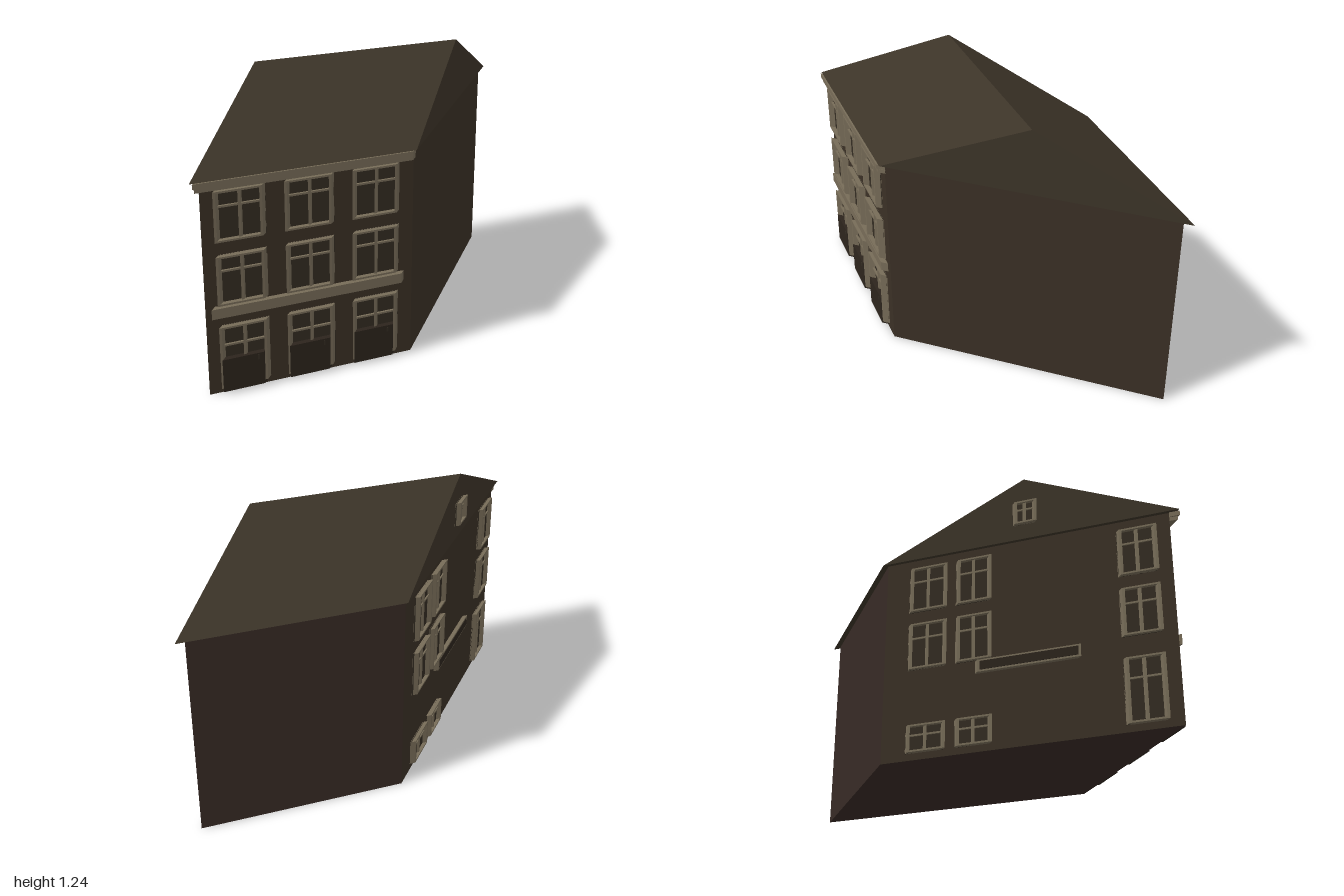
import * as THREE from 'three';

const V = (x, y, z) => new THREE.Vector3(x, y, z);

function flat(name, color) {
  const m = new THREE.MeshStandardMaterial({ color });
  m.name = name;
  return m;
}

export function createModel() {
  const model = new THREE.Group();
  model.name = 'townhouse';

  const wallMat = flat('wall brown', 0x3a3025);
  const rearMat = flat('rear wall brown', 0x372a25);
  const roofMat = flat('roof brown', 0x3c3428);
  const trimMat = flat('trim beige', 0x776c58);
  const glassMat = flat('window glass', 0x332c22);
  const panelMat = flat('panel dark', 0x2c241c);

  // Skewed frame: a geometry's x, y, z axes become the given directions
  const skew = (geo, x, y, z, origin) =>
    geo.applyMatrix4(new THREE.Matrix4().makeBasis(x, y, z).setPosition(origin));

  function add(parent, name, geo, mat) {
    const mesh = new THREE.Mesh(geo, mat);
    mesh.name = name;
    parent.add(mesh);
    return mesh;
  }

  // Walls on a parallelogram footprint
  const body = skew(new THREE.BoxGeometry(1, 1, 1),
    V(0.668, 0, -0.62), V(0, 0.94, 0), V(0.038, 0, 1.28), V(0, 0.47, 0));
  add(model, 'walls', body, [wallMat, wallMat, wallMat, rearMat, wallMat, rearMat]);

  // Gabled roof, ridge parallel to the front wall
  const gable = new THREE.Shape([
    new THREE.Vector2(-0.5, 0), new THREE.Vector2(0.5, 0), new THREE.Vector2(0, 1)]);
  const roof = new THREE.ExtrudeGeometry(gable, { depth: 1, bevelEnabled: false });
  roof.translate(0, 0, -0.5);
  skew(roof, V(0.04, 0, 1.345), V(0, 0.302, 0), V(-0.70, 0, 0.65), V(0, 0.94, 0));
  add(model, 'roof', roof, roofMat);

  // Facades: u runs along the wall, d outward along the neighbouring wall
  const front = { u: V(1, 0, -0.928), d: V(0.028, 0, 1), o: V(0, 0, 0.658), bar: 0.008, depth: 0.033 };
  const side = { u: V(0.03, 0, 1), d: V(-1, 0, 0.93), o: V(-0.343, 0, 0), bar: 0.012, depth: 0.02 };
  const gableSide = { ...side, o: V(-0.3595, 0, 0) };

  function block(parent, name, f, u0, u1, y0, y1, d0, d1, mat) {
    const geo = new THREE.BoxGeometry(u1 - u0, y1 - y0, d1 - d0);
    geo.translate((u0 + u1) / 2, (y0 + y1) / 2, (d0 + d1) / 2);
    return add(parent, name, skew(geo, f.u, V(0, 1, 0), f.d, f.o), mat);
  }

  // Framed window with one mullion and one transom
  function addWindow(f, u0, u1, y0, y1, transom) {
    const g = new THREE.Group();
    g.name = 'window';
    const b = f.bar, h = 0.008, D = f.depth, uc = (u0 + u1) / 2;
    block(g, 'glass', f, u0, u1, y0, y1, 0.001, 0.005, glassMat);
    for (const u of [u0, u1 - b]) block(g, 'frameSide', f, u, u + b, y0, y1, 0, D, trimMat);
    for (const y of [y0, y1 - h]) block(g, 'frameRail', f, u0 + b, u1 - b, y, y + h, 0, D, trimMat);
    block(g, 'mullion', f, uc - b / 2, uc + b / 2, y0 + h, y1 - h, 0, D * 0.6, trimMat);
    block(g, 'transom', f, u0 + b, u1 - b, transom - 0.004, transom + 0.004, 0, D * 0.55, trimMat);
    model.add(g);
  }

  // Front: three bays, three storeys, a panel below each ground floor window
  for (const c of [-0.193, 0.02, 0.233]) {
    const u0 = c - 0.073, u1 = c + 0.073;
    addWindow(front, u0, u1, 0.68, 0.893, 0.825);
    addWindow(front, u0, u1, 0.405, 0.618, 0.55);
    addWindow(front, u0, u1, 0.03, 0.308, 0.22);
    block(model, 'lowerPanel', front, c - 0.066, c + 0.064, 0.015, 0.163, 0, 0.037, panelMat);
    block(model, 'panelHandle', front, c + 0.045, c + 0.05, 0.135, 0.155, 0.037, 0.041, glassMat);
  }
  block(model, 'frontBand', front, -0.285, 0.325, 0.352, 0.396, 0, 0.034, trimMat);
  block(model, 'corniceLower', front, -0.317, 0.358, 0.9, 0.917, 0, 0.034, trimMat);
  block(model, 'corniceUpper', front, -0.319, 0.36, 0.919, 0.94, 0, 0.042, trimMat);

  // Side wall: two bays towards the rear, one towards the front corner
  for (const [u0, u1] of [[-0.22, -0.05], [0, 0.155], [0.72, 0.88]]) {
    addWindow(side, u0, u1, 0.68, 0.893, 0.825);
    addWindow(side, u0, u1, 0.405, 0.618, 0.55);
    if (u0 > 0.5) addWindow(side, u0, u1, 0.03, 0.308, 0.22);
    else addWindow(side, u0, u1, 0.03, 0.15, 0.105);
  }
  addWindow(gableSide, 0.27, 0.37, 1.01, 1.12, 1.08);

  // Plain framed sign board on the side wall
  block(model, 'signBoard', side, 0.09, 0.54, 0.345, 0.4, 0, 0.018, trimMat);
  block(model, 'signFace', side, 0.102, 0.528, 0.353, 0.392, 0.018, 0.02, panelMat);

  return model;
}
